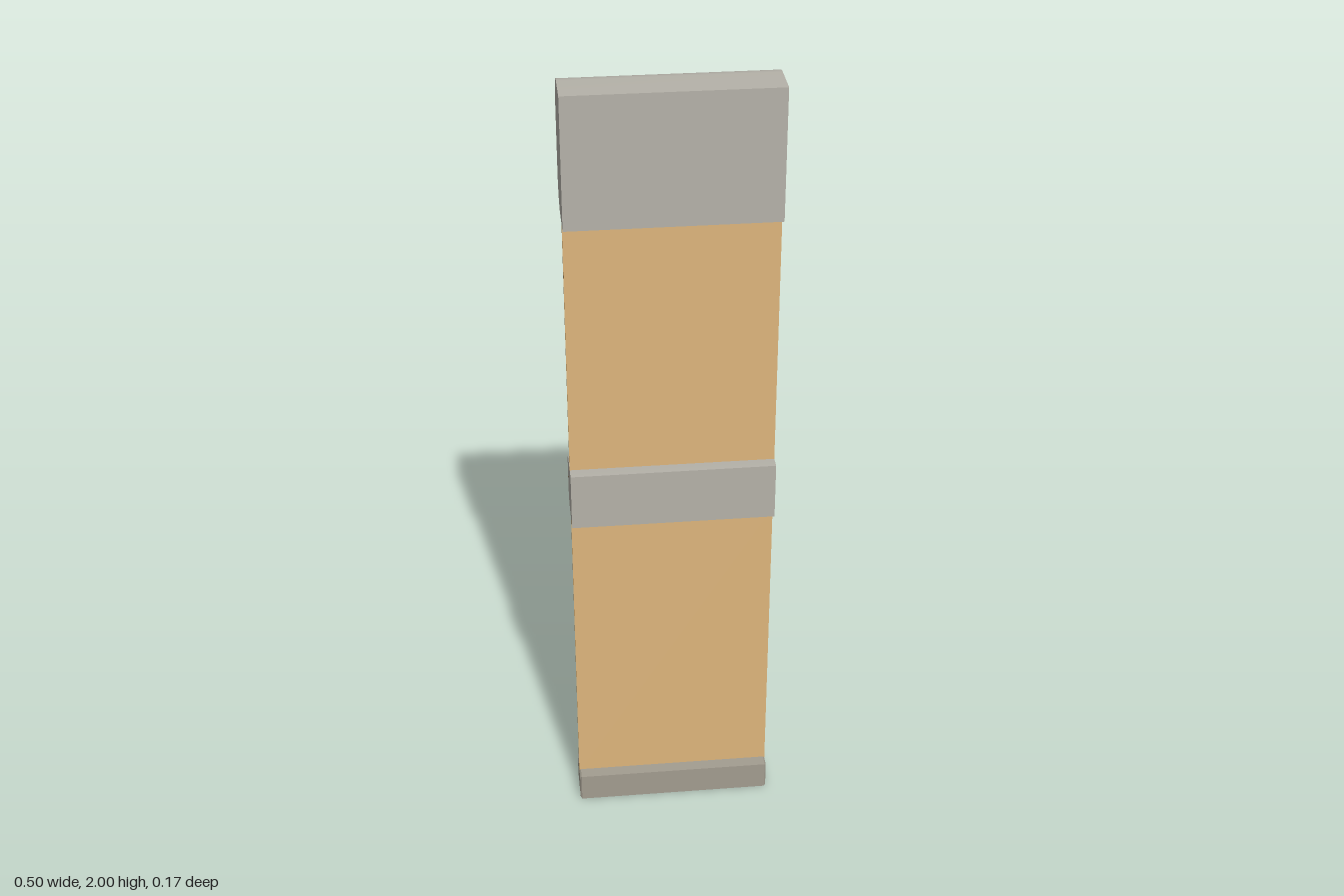
import * as THREE from 'three';
import { toCreasedNormals } from 'three/addons/utils/BufferGeometryUtils.js';

const W = 0.5;          // overall width
const FRONT = 0.084;    // front plane of the solid blocks

const stone = new THREE.MeshStandardMaterial({ color: 0xb5b2a9 });
const baseStone = new THREE.MeshStandardMaterial({ color: 0xa39d90 });
const wood = new THREE.MeshStandardMaterial({ color: 0xdeb67c });
const black = new THREE.MeshStandardMaterial({ color: 0x1c1c1a });
const bronze = new THREE.MeshStandardMaterial({ color: 0x7a5c22 });

function add(group, name, geometry, material, x = 0, y = 0, z = 0) {
  const mesh = new THREE.Mesh(geometry, material);
  mesh.name = name;
  mesh.position.set(x, y, z);
  group.add(mesh);
  return mesh;
}

// Block with a flat front and two rounded back edges, extruded along x
function roundedBackBlock(y0, y1, back, r) {
  const s = new THREE.Shape();        // shape x = -z, shape y = y
  const b = -back;
  s.moveTo(-FRONT, y0);
  s.lineTo(b - r, y0);
  s.absarc(b - r, y0 + r, r, -Math.PI / 2, 0, false);
  s.lineTo(b, y1 - r);
  s.absarc(b - r, y1 - r, r, 0, Math.PI / 2, false);
  s.lineTo(-FRONT, y1);
  s.closePath();
  const g = new THREE.ExtrudeGeometry(s, { depth: W, bevelEnabled: false, curveSegments: 16 });
  g.translate(0, 0, -W / 2).rotateY(Math.PI / 2);
  return toCreasedNormals(g, 0.5);
}

// Slim round bar across the full width
function crossBar(group, name, r, y, z, material) {
  const g = new THREE.CylinderGeometry(r, r, W, 12).rotateZ(Math.PI / 2);
  add(group, name, g, material, 0, y, z);
}

export function createModel() {
  const model = new THREE.Group();
  model.name = 'panelColumn';

  // Head and middle blocks with their thin bronze strips
  add(model, 'headBlock', roundedBackBlock(1.68, 2, -0.078, 0.07), stone);
  crossBar(model, 'headTrim', 0.006, 1.785, -0.08, bronze);
  add(model, 'middleBlock', roundedBackBlock(0.88, 1.028, -0.044, 0.042), stone);
  crossBar(model, 'middleTrim', 0.006, 0.954, -0.045, bronze);

  // Foot with a small chamfer all round
  const c = 0.004, h = 0.076, d = 0.104;
  const footShape = new THREE.Shape([
    new THREE.Vector2(-d / 2 + c, c), new THREE.Vector2(d / 2 - c, c),
    new THREE.Vector2(d / 2 - c, h - c), new THREE.Vector2(-d / 2 + c, h - c),
  ]);
  const foot = new THREE.ExtrudeGeometry(footShape, {
    depth: W - 2 * c, bevelSize: c, bevelThickness: c, bevelSegments: 1,
  });
  foot.translate(0, 0, -W / 2 + c).rotateY(Math.PI / 2);
  add(model, 'foot', foot, baseStone, 0, 0, FRONT - d / 2);

  // Two wooden panels, each with a black upright and cross bar on the back
  for (const [name, y0, y1, barY] of [['lower', 0.07, 0.885, 0.74], ['upper', 1.02, 1.685, 1.55]]) {
    const len = y1 - y0, mid = (y0 + y1) / 2;
    add(model, name + 'Panel', new THREE.BoxGeometry(W, len, 0.012), wood, 0, mid, 0.046);
    add(model, name + 'Upright', new THREE.CylinderGeometry(0.011, 0.011, len, 12), black, 0, mid, 0.04);
    crossBar(model, name + 'CrossBar', 0.008, barY, 0.038, black);
  }

  return model;
}
